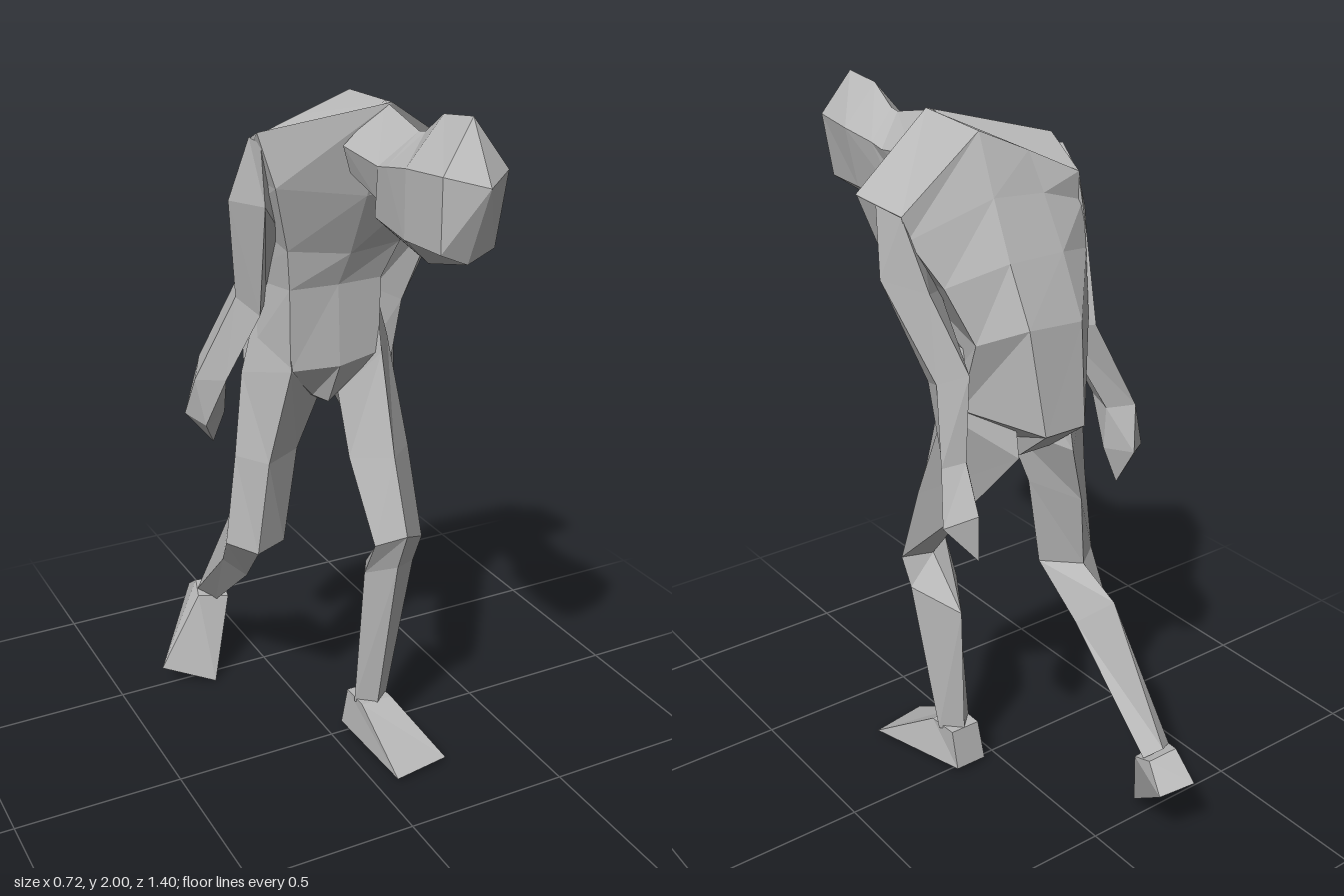
import * as THREE from 'three';

const grey = new THREE.MeshStandardMaterial({ color: 0xb8b8b8, flatShading: true });
grey.name = 'clay grey';

// Skins a closed low-poly limb over cross-sections; a one-point section is a tip.
function loft(name, sections) {
  const n = Math.max(...sections.map((s) => s.length));
  const rings = sections.map((s) =>
    Array.from({ length: n }, (_, i) => new THREE.Vector3(...s[s.length === 1 ? 0 : i])));
  const tris = [];
  const add = (a, b, c) => {
    if (!a.equals(b) && !b.equals(c) && !c.equals(a)) tris.push([a, b, c]);
  };
  for (let r = 0; r < rings.length - 1; r++) {
    for (let i = 0; i < n; i++) {
      const j = (i + 1) % n;
      add(rings[r][i], rings[r][j], rings[r + 1][j]);
      add(rings[r][i], rings[r + 1][j], rings[r + 1][i]);
    }
  }
  const first = rings[0], last = rings[rings.length - 1];
  for (let i = 1; i < n - 1; i++) {
    add(first[0], first[i + 1], first[i]);
    add(last[0], last[i], last[i + 1]);
  }
  // Turn the faces outwards whichever way round the sections run
  const volume = tris.reduce((v, [a, b, c]) => v + a.dot(b.clone().cross(c)), 0);
  const points = tris.flatMap(([a, b, c]) => (volume < 0 ? [a, c, b] : [a, b, c]));
  const geometry = new THREE.BufferGeometry().setFromPoints(points);
  geometry.computeVertexNormals();
  const mesh = new THREE.Mesh(geometry, grey);
  mesh.name = name;
  return mesh;
}

export function createModel() {
  const model = new THREE.Group();
  model.name = 'stoopedFigure';

  // Torso, crotch to shoulders: front middle, front left, left, back left, back right, right, front right
  model.add(loft('torso', [
    [[-.01, 1.11, 0], [.03, 1.13, -.02], [.05, 1.13, -.1], [.04, 1.1, -.18], [-.06, 1.1, -.18], [-.08, 1.13, -.1], [-.05, 1.13, -.02]],
    [[0, 1.23, .05], [.125, 1.25, .04], [.19, 1.25, -.12], [.05, 1.2, -.305], [-.08, 1.2, -.305], [-.2, 1.22, -.15], [-.14, 1.23, .03]],
    [[0, 1.46, .04], [.135, 1.46, .03], [.19, 1.45, -.19], [.08, 1.49, -.27], [-.09, 1.48, -.27], [-.18, 1.45, -.19], [-.14, 1.46, .03]],
    [[.02, 1.55, .07], [.18, 1.56, .05], [.25, 1.6, -.14], [.09, 1.65, -.2], [-.08, 1.65, -.2], [-.19, 1.63, -.16], [-.15, 1.57, .04]],
    [[.03, 1.72, .14], [.24, 1.74, .13], [.315, 1.72, -.08], [.085, 1.8, -.125], [-.07, 1.79, -.13], [-.2, 1.75, -.13], [-.2, 1.75, .08]],
    [[.065, 1.965, .2], [.335, 1.795, .125], [.325, 1.78, -.07], [.08, 1.955, -.055], [-.05, 1.895, -.09], [-.18, 1.83, -.135], [-.235, 1.89, .05]],
  ]));

  // Neck and head, running forward: upper left, top, upper right, lower right, bottom, lower left
  model.add(loft('neckAndHead', [
    [[.14, 1.86, .16], [.06, 1.965, .17], [-.05, 1.86, .16], [-.03, 1.79, .16], [.05, 1.78, .16], [.12, 1.79, .16]],
    [[.13, 1.84, .32], [.05, 1.925, .36], [-.04, 1.84, .32], [-.02, 1.75, .28], [.05, 1.73, .27], [.1, 1.75, .28]],
    [[.13, 1.85, .37], [.05, 1.93, .39], [-.045, 1.85, .37], [-.035, 1.71, .3], [.04, 1.65, .26], [.1, 1.71, .3]],
    [[.145, 1.87, .48], [.05, 1.985, .47], [-.055, 1.87, .48], [-.055, 1.7, .48], [.02, 1.63, .47], [.11, 1.7, .48]],
    [[.13, 1.88, .63], [.055, 2, .59], [-.045, 1.88, .63], [-.045, 1.7, .63], [.025, 1.67, .635], [.1, 1.7, .63]],
    [[.04, 1.86, .7]],
  ]));

  // Arms, shoulder to fingertips: outer, front, inner, back
  model.add(loft('leftArm', [
    [[.335, 1.79, .03], [.333, 1.793, .122], [.2, 1.73, .04], [.323, 1.778, -.068]],
    [[.355, 1.61, -.01], [.29, 1.62, .06], [.195, 1.56, -.04], [.3, 1.6, -.15]],
    [[.305, 1.37, -.18], [.27, 1.34, -.09], [.22, 1.36, -.17], [.26, 1.41, -.26]],
    [[.315, 1.15, -.21], [.28, 1.15, -.16], [.235, 1.17, -.2], [.265, 1.17, -.25]],
    [[.34, 1, -.25], [.28, .98, -.18], [.235, 1.02, -.24], [.28, 1.05, -.325]],
    [[.27, .91, -.31]],
  ]));
  model.add(loft('rightArm', [
    [[-.235, 1.87, 0], [-.225, 1.86, .05], [-.13, 1.75, 0], [-.18, 1.825, -.133]],
    [[-.275, 1.7, -.05], [-.22, 1.7, .06], [-.14, 1.6, -.01], [-.2, 1.66, -.15]],
    [[-.24, 1.42, -.1], [-.2, 1.38, -.03], [-.15, 1.4, -.1], [-.19, 1.43, -.21]],
    [[-.335, 1.17, -.18], [-.27, 1.18, -.11], [-.245, 1.17, -.2], [-.28, 1.2, -.28]],
    [[-.345, 1.05, -.24], [-.31, 1.03, -.17], [-.24, 1.05, -.2], [-.26, 1.07, -.305]],
    [[-.265, .95, -.23]],
  ]));

  // Legs, inside the waist to the ankle: outer, front, inner, back; the right one trails
  model.add(loft('leftLeg', [
    [[.175, 1.42, -.09], [.125, 1.42, .02], [.05, 1.32, -.05], [.08, 1.32, -.2]],
    [[.225, 1.24, -.09], [.13, 1.25, .05], [.02, 1.13, 0], [.08, 1.12, -.23]],
    [[.225, .95, .04], [.12, .97, .15], [.03, .95, .05], [.13, .93, -.08]],
    [[.22, .7, .14], [.12, .76, .23], [.05, .72, .17], [.13, .7, .11]],
    [[.21, .61, .11], [.12, .64, .18], [.055, .6, .1], [.13, .56, -.03]],
    [[.165, .13, .045], [.11, .13, .09], [.055, .13, .045], [.11, .13, -.01]],
  ]));
  model.add(loft('rightLeg', [
    [[-.17, 1.4, -.11], [-.13, 1.4, .01], [-.05, 1.3, -.06], [-.08, 1.3, -.22]],
    [[-.215, 1.19, -.13], [-.14, 1.23, .035], [-.02, 1.12, -.04], [-.08, 1.11, -.26]],
    [[-.25, .95, -.11], [-.19, .95, -.01], [-.07, .95, -.08], [-.14, .93, -.23]],
    [[-.285, .68, -.11], [-.22, .665, -.03], [-.12, .67, -.07], [-.18, .7, -.2]],
    [[-.24, .55, -.25], [-.18, .5, -.21], [-.115, .55, -.25], [-.17, .645, -.35]],
    [[-.2, .28, -.57], [-.15, .24, -.54], [-.105, .27, -.57], [-.15, .3, -.6]],
  ]));

  // Wedge feet, ankle down to sole: two front corners, two heel corners
  model.add(loft('leftFoot', [
    [[.06, .14, .085], [.16, .14, .085], [.155, .14, -.01], [.06, .14, -.01]],
    [[.06, .015, .31], [.24, .015, .28], [.15, .015, -.03], [.05, .015, -.03]],
  ]));
  model.add(loft('rightFoot', [
    [[-.21, .27, -.54], [-.11, .25, -.53], [-.1, .28, -.6], [-.19, .29, -.61]],
    [[-.36, .06, -.5], [-.2, 0, -.44], [-.08, .21, -.67], [-.18, .23, -.7]],
  ]));

  return model;
}
